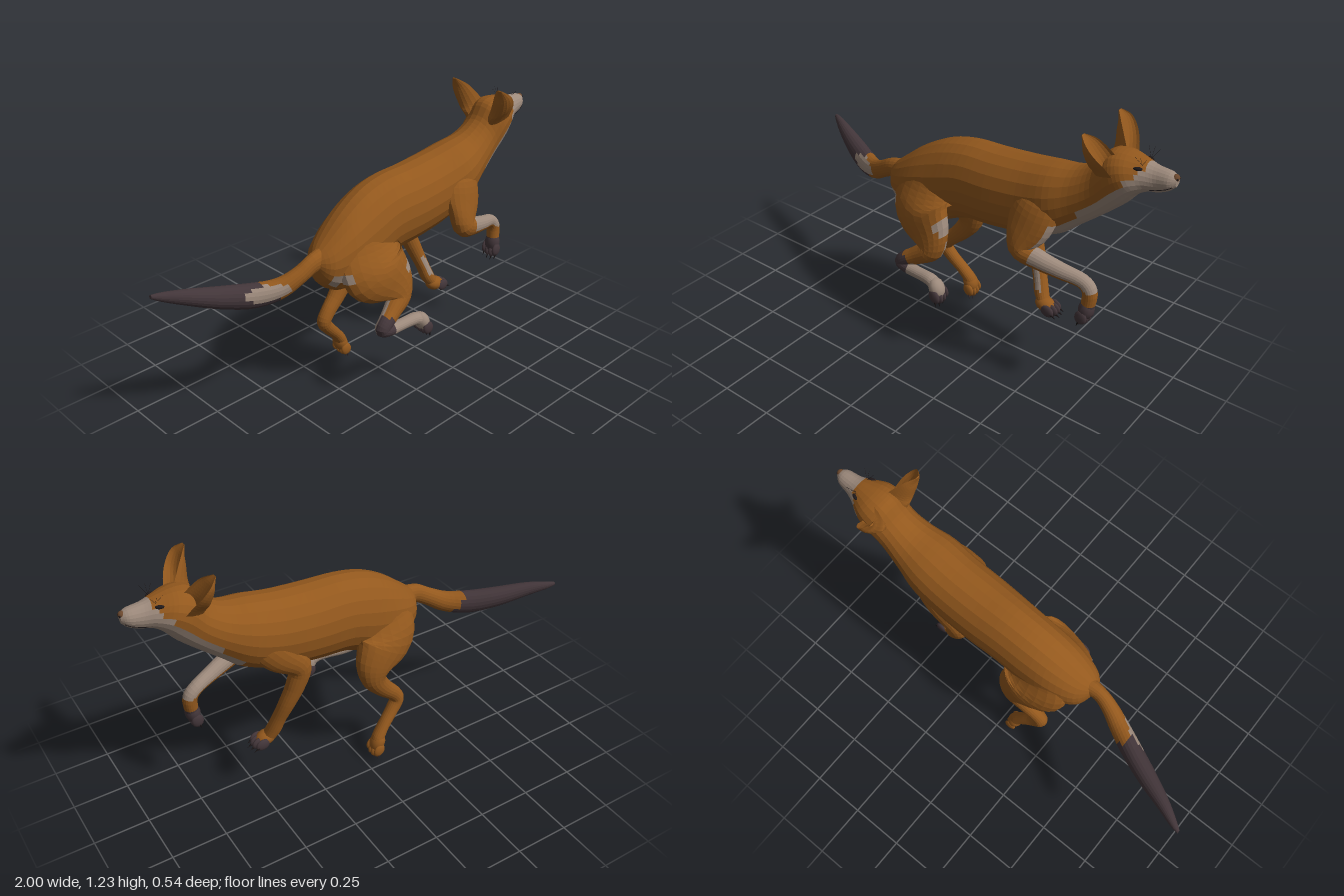
import * as THREE from 'three';

const STEPS = 4;   // rings per section
const SIDES = 20;  // points per ring
const MID = -0.03; // z of the body's centre plane

const mat = (name, color) => Object.assign(new THREE.MeshStandardMaterial({ color }), { name });

// Smoothly resample rows of numbers with a Catmull-Rom spline
function resample(rows) {
  const out = [];
  const last = rows.length - 1;
  for (let k = 0; k <= last * STEPS; k++) {
    const i = Math.min(Math.floor(k / STEPS), last - 1);
    const t = k / STEPS - i;
    const [a, b, c, d] = [i - 1, i, i + 1, i + 2].map(n => rows[Math.max(0, Math.min(last, n))]);
    out.push(b.map((v, m) => v + 0.5 * t * (c[m] - a[m] + t * (2 * a[m] - 5 * v + 4 * c[m] - d[m]
      + t * (3 * (v - c[m]) + d[m] - a[m])))));
  }
  return out;
}

// Path rows [x, y, z, in-plane radius, z radius] -> rings { c, u, w }
function pathRings(rows) {
  const p = resample(rows);
  return p.map(([x, y, z, r, w], i) => {
    const a = p[Math.max(0, i - 1)], b = p[Math.min(p.length - 1, i + 1)];
    const dx = b[0] - a[0], dy = b[1] - a[1], l = Math.hypot(dx, dy) || 1;
    return { c: [x, y, z], u: [-dy / l * r, dx / l * r], w };
  });
}

// Outline rows [top x, top y, bottom x, bottom y, z, half width] -> rings
const outlineRings = rows => resample(rows).map(([tx, ty, bx, by, z, w]) =>
  ({ c: [(tx + bx) / 2, (ty + by) / 2, z], u: [(tx - bx) / 2, (ty - by) / 2], w }));

function ringPoint({ c, u, w }, angle, hollow = false) {
  let k = Math.cos(angle);
  if (hollow && k < 0) k *= -0.5; // fold the front half back into a cup
  return new THREE.Vector3(c[0] + u[0] * k, c[1] + u[1] * k, c[2] + w * Math.sin(angle));
}

// Skin rings into a closed faceted mesh; pick(centre, angle) gives the material index
function loft(name, rings, mats, pick = () => 0, hollow = false) {
  const parts = mats.map(() => []);
  const pts = rings.map(r => Array.from({ length: SIDES }, (_, j) => ringPoint(r, j / SIDES * Math.PI * 2, hollow)));
  const tri = (m, ...v) => v.forEach(p => parts[m].push(p.x, p.y, p.z));
  for (let i = 0; i < rings.length - 1; i++) for (let j = 0; j < SIDES; j++) {
    const k = (j + 1) % SIDES;
    const a = pts[i][j], b = pts[i][k], c = pts[i + 1][j], d = pts[i + 1][k];
    const mid = a.clone().add(b).add(c).add(d).multiplyScalar(0.25);
    const m = pick(mid, (j + 0.5) / SIDES * Math.PI * 2);
    tri(m, a, b, c);
    tri(m, b, d, c);
  }
  for (const end of [0, rings.length - 1]) for (let j = 0; j < SIDES; j++) {
    const k = (j + 1) % SIDES, c = new THREE.Vector3(...rings[end].c), ring = pts[end];
    const m = pick(c, 0);
    if (end) tri(m, c, ring[j], ring[k]); else tri(m, c, ring[k], ring[j]);
  }
  const geo = new THREE.BufferGeometry();
  geo.setAttribute('position', new THREE.Float32BufferAttribute(parts.flat(), 3));
  let start = 0;
  parts.forEach((p, m) => { geo.addGroup(start, p.length / 3, m); start += p.length / 3; });
  geo.computeVertexNormals();
  const mesh = new THREE.Mesh(geo, mats);
  mesh.name = name;
  return mesh;
}

function ball(name, m, pos, scale) {
  const mesh = new THREE.Mesh(new THREE.SphereGeometry(1, 12, 8), m);
  mesh.name = name;
  mesh.position.set(...pos);
  mesh.scale.set(...scale);
  return mesh;
}

// Paw with four toes and claws; local +x is the toe direction
function paw(name, pos, angle, padMat, toeMat, clawMat) {
  const g = new THREE.Group();
  g.name = name;
  g.add(ball('pad', padMat, [0.016, 0, 0], [0.05, 0.034, 0.038]));
  for (let i = 0; i < 4; i++) {
    const s = i - 1.5, reach = 0.06 - Math.abs(s) * 0.009;
    g.add(ball('toe', toeMat, [reach, -0.004, s * 0.021], [0.034, 0.028, 0.0125]));
    const claw = new THREE.Mesh(new THREE.ConeGeometry(0.007, 0.03, 6), clawMat);
    claw.name = 'claw';
    claw.position.set(reach + 0.036, -0.012, s * 0.023);
    claw.rotation.z = -Math.PI / 2 - 0.3;
    g.add(claw);
  }
  g.position.set(...pos);
  g.rotation.z = angle;
  return g;
}

export function createModel() {
  const orange = mat('orange fur', 0x93581d);
  const pale = mat('pale fur', 0x9c897b);
  const dark = mat('dark fur', 0x43363a);
  const black = mat('black', 0x1f191a);
  const brown = mat('nose brown', 0x6b482e);
  const fur = [orange, pale, dark];
  const model = new THREE.Group();
  model.name = 'fox';

  // Torso, neck and head in one skin
  const bodyRings = outlineRings([
    [-0.37, 0.73, -0.37, 0.66, 0, 0.03], [-0.31, 0.78, -0.34, 0.58, -0.01, 0.09],
    [-0.2, 0.866, -0.25, 0.52, -0.02, 0.125], [-0.08, 0.93, -0.1, 0.52, -0.03, 0.135],
    [0.05, 0.96, 0.04, 0.58, -0.035, 0.138], [0.2, 0.967, 0.2, 0.6, -0.035, 0.145],
    [0.35, 0.98, 0.38, 0.63, -0.035, 0.145], [0.47, 0.998, 0.53, 0.69, MID, 0.142],
    [0.58, 1.015, 0.62, 0.765, MID, 0.118], [0.66, 1.06, 0.72, 0.85, MID, 0.102],
    [0.71, 1.13, 0.8, 0.925, MID, 0.107], [0.77, 1.145, 0.85, 0.985, MID, 0.098],
    [0.845, 1.135, 0.89, 1.01, MID, 0.066], [0.9, 1.122, 0.93, 1.018, MID, 0.046],
    [0.965, 1.115, 0.97, 1.038, MID, 0.036], [0.995, 1.1, 0.993, 1.06, MID, 0.016],
  ]);
  const chest = new THREE.Vector3(0.52, 0.7, 0.03);
  const rumpPatch = p => p.z > 0 && Math.hypot(p.x + 0.3, p.y - 0.625) < 0.035;
  model.add(loft('body', bodyRings, fur, (p, a) => {
    if (p.x > 0.85 && (p.x > 0.88 || Math.cos(a) < 0.6)) return 1;
    const throat = p.x > 0.55 && p.y < 0.785 + 1.08 * (p.x - 0.57);
    if (throat && (p.x > 0.66 || Math.abs(p.z - MID) < 0.1)) return 1;
    return p.distanceTo(chest) < 0.105 || rumpPatch(p) ? 1 : 0;
  }));

  // Nose, eyes, mouth, brow whiskers and ears, mirrored about the head's middle
  const onBody = (u, a) => ringPoint(bodyRings[Math.round(u * STEPS)], a);
  model.add(ball('nose', brown, [0.985, 1.096, MID], [0.015, 0.015, 0.016]));
  for (const s of [1, -1]) {
    model.add(ball('nostril', black, [0.995, 1.095, MID + s * 0.009], [0.004, 0.005, 0.005]));
    const eye = ball('eye', black, onBody(12, s * 0.9).toArray(), [0.018, 0.008, 0.008]);
    eye.rotation.y = s * 0.4;
    model.add(eye);
    const lip = [12.5, 13, 13.5, 14, 14.5].map((u, i) => onBody(u, s * (2.3 - i * 0.04)));
    const mouth = new THREE.Mesh(new THREE.TubeGeometry(new THREE.CatmullRomCurve3(lip), 10, 0.002, 5), black);
    mouth.name = 'mouth';
    model.add(mouth);
    for (let i = 0; i < 3; i++) {
      const hair = new THREE.Mesh(new THREE.CylinderGeometry(0.0006, 0.0006, 0.05, 4), black);
      hair.name = 'browWhisker';
      hair.position.set(0.85 + i * 0.012, 1.14, MID + s * 0.045);
      hair.rotation.set(s * 0.5, 0, 0.5 - i * 0.5);
      model.add(hair);
    }
    model.add(loft('ear', pathRings([
      [0.775, 1.07, MID + s * 0.062, 0.095, 0.043], [0.757, 1.12, MID + s * 0.088, 0.092, 0.05],
      [0.728, 1.165, MID + s * 0.113, 0.07, 0.053], [0.695, 1.205, MID + s * 0.13, 0.042, 0.042],
      [0.66, 1.23, MID + s * 0.137, 0.006, 0.009],
    ]), [orange], undefined, true));
  }

  // Tail with dark end and a pale patch on one side
  model.add(loft('tail', pathRings([
    [-0.3, 0.7, -0.01, 0.06, 0.05], [-0.38, 0.7, 0, 0.045, 0.033], [-0.45, 0.665, -0.01, 0.041, 0.036],
    [-0.53, 0.625, -0.04, 0.048, 0.045], [-0.63, 0.612, -0.085, 0.056, 0.05],
    [-0.75, 0.628, -0.14, 0.049, 0.047], [-0.88, 0.658, -0.2, 0.034, 0.033],
    [-0.96, 0.674, -0.242, 0.02, 0.02], [-1, 0.682, -0.262, 0.008, 0.008],
  ]), fur, (p, a) => {
    if (Math.sin(a) > 0.3 && Math.hypot((p.x + 0.595) / 0.095, (p.y - 0.628) / 0.034) < 1) return 1;
    return p.x + (p.y - 0.63) * 0.7 < -0.58 ? 2 : 0;
  }));

  // Raised foreleg (+z)
  model.add(loft('raisedForeleg', pathRings([
    [0.47, 0.94, 0.02, 0.05, 0.03], [0.46, 0.85, 0.062, 0.1, 0.055], [0.44, 0.75, 0.1, 0.1, 0.052],
    [0.42, 0.65, 0.132, 0.055, 0.046],
    [0.5, 0.615, 0.12, 0.045, 0.04], [0.6, 0.585, 0.095, 0.037, 0.034], [0.685, 0.56, 0.07, 0.032, 0.031],
    [0.722, 0.52, 0.066, 0.033, 0.031], [0.72, 0.45, 0.07, 0.03, 0.031],
  ]), fur, (p, a) => {
    if (p.y < 0.47) return 2;
    if (p.y > 0.69) return p.y < 0.78 && Math.cos(a) > 0.75 ? 1 : 0;
    return p.x > 0.48 && p.y > 0.525 && Math.cos(a) > -0.4 ? 1 : 0;
  }));
  model.add(paw('raisedForepaw', [0.718, 0.45, 0.072], -1.68, dark, dark, black));

  // Reaching foreleg (-z)
  model.add(loft('reachingForeleg', pathRings([
    [0.48, 0.92, -0.09, 0.04, 0.03], [0.46, 0.83, -0.115, 0.08, 0.05], [0.39, 0.74, -0.132, 0.08, 0.05],
    [0.3, 0.645, -0.132, 0.054, 0.045],
    [0.315, 0.55, -0.125, 0.045, 0.04], [0.355, 0.45, -0.11, 0.037, 0.036], [0.385, 0.37, -0.09, 0.032, 0.033],
    [0.405, 0.31, -0.075, 0.033, 0.035], [0.425, 0.272, -0.065, 0.028, 0.034],
  ]), fur, (p, a) => (p.y > 0.32 && p.y < 0.42 && Math.cos(a - 1.4) > 0.9 ? 1 : 0)));
  model.add(paw('reachingForepaw', [0.425, 0.262, -0.057], -0.2, orange, dark, black));

  // Tucked hind leg (+z)
  model.add(loft('tuckedHindLeg', pathRings([
    [-0.12, 0.86, -0.01, 0.05, 0.05], [-0.125, 0.8, 0.015, 0.1, 0.065], [-0.135, 0.71, 0.05, 0.15, 0.07],
    [-0.12, 0.62, 0.1, 0.165, 0.075], [-0.05, 0.54, 0.14, 0.11, 0.06],
    [-0.03, 0.475, 0.163, 0.058, 0.05], [-0.09, 0.43, 0.18, 0.043, 0.042], [-0.15, 0.395, 0.198, 0.036, 0.035],
    [-0.168, 0.37, 0.2, 0.033, 0.034], [-0.12, 0.358, 0.206, 0.028, 0.03], [-0.05, 0.36, 0.214, 0.026, 0.028],
    [0.01, 0.36, 0.22, 0.028, 0.03], [0.045, 0.345, 0.223, 0.03, 0.032],
  ]), fur, (p, a) => {
    if (rumpPatch(p) || Math.hypot(p.x - 0.04, p.y - 0.6) < 0.035) return 1;
    if (p.x < -0.12 && p.y < 0.43) return Math.sin(a) > -0.3 && p.y > 0.34 ? 2 : 1;
    if (p.y < 0.393) return 1;
    return p.y < 0.53 && Math.sin(a) < -0.1 ? 1 : 0;
  }));
  model.add(paw('tuckedHindPaw', [0.043, 0.35, 0.225], -1.1, pale, dark, black));

  // Trailing hind leg (-z)
  model.add(loft('trailingHindLeg', pathRings([
    [-0.12, 0.86, -0.05, 0.05, 0.05], [-0.125, 0.8, -0.065, 0.1, 0.065], [-0.135, 0.71, -0.09, 0.15, 0.07],
    [-0.13, 0.62, -0.13, 0.16, 0.075], [-0.07, 0.53, -0.157, 0.105, 0.06],
    [-0.06, 0.45, -0.165, 0.06, 0.047], [-0.11, 0.375, -0.16, 0.044, 0.038], [-0.175, 0.31, -0.153, 0.036, 0.033],
    [-0.198, 0.265, -0.153, 0.033, 0.033], [-0.165, 0.215, -0.16, 0.03, 0.031],
    [-0.115, 0.16, -0.173, 0.027, 0.03], [-0.078, 0.11, -0.184, 0.029, 0.032], [-0.068, 0.085, -0.187, 0.027, 0.032],
  ]), [orange]));
  model.add(paw('trailingHindPaw', [-0.078, 0.1, -0.187], -1.15, orange, orange, dark));

  return model;
}
